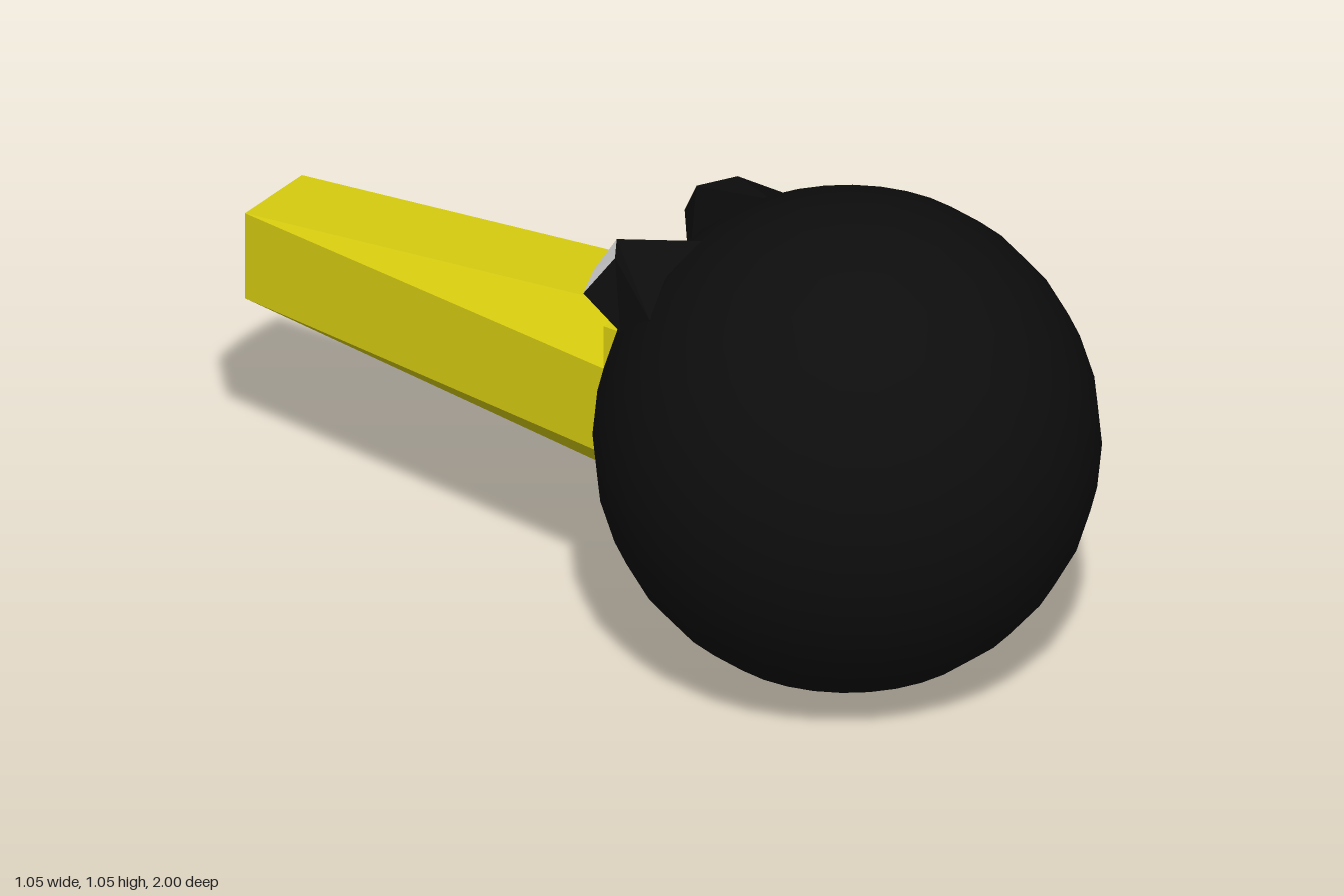
import * as THREE from 'three';

const mat = (name, color) => {
  const m = new THREE.MeshStandardMaterial({ color });
  m.name = name;
  return m;
};

// Flat-faced geometry from convex polygons, corners counterclockwise from outside
function polygons(faces) {
  const pos = [];
  for (const f of faces)
    for (let i = 1; i < f.length - 1; i++) pos.push(...f[0], ...f[i], ...f[i + 1]);
  const g = new THREE.BufferGeometry();
  g.setAttribute('position', new THREE.Float32BufferAttribute(pos, 3));
  g.computeVertexNormals();
  return g;
}

export function createModel() {
  const model = new THREE.Group();
  const black = mat('black', 0x0d0d0d);
  const yellow = mat('yellow', 0xd9ce10);
  const white = mat('white', 0xececec);
  const add = (parent, name, geometry, material) => {
    const mesh = new THREE.Mesh(geometry, material);
    mesh.name = name;
    parent.add(mesh);
    return mesh;
  };
  const cy = 0.53;

  // Round head
  add(model, 'head', new THREE.SphereGeometry(0.525, 32, 16), black).position.set(0, cy, 0.475);

  const beak = new THREE.Group();
  beak.name = 'beak';
  model.add(beak);

  // Square root of the beak, mostly sunk in the head
  add(beak, 'beakRoot', new THREE.BoxGeometry(0.4, 0.4, 0.2), yellow).position.set(0, cy, 0.1);

  // Beak tapering from an octagon to a square: four flats and four corner triangles
  const faces = [];
  const tipZ = -0.985;
  for (let i = 0; i < 4; i++) {
    const turn = (x, y, z) => {
      const c = [1, 0, -1, 0][i], s = [0, 1, 0, -1][i];
      return [c * x - s * y, cy + s * x + c * y, z];
    };
    const a = 0.1, b = 0.2;
    faces.push([turn(-a, b, 0), turn(a, b, 0), turn(a, a, tipZ), turn(-a, a, tipZ)]);
    faces.push([turn(a, b, 0), turn(b, a, 0), turn(a, a, tipZ)]);
  }
  add(beak, 'beakTaper', polygons(faces), yellow);

  // Slightly bulging tip
  const tip = new THREE.PlaneGeometry(0.2, 0.2, 4, 4);
  tip.rotateY(Math.PI);
  const p = tip.attributes.position;
  for (let i = 0; i < p.count; i++) {
    const r2 = (p.getX(i) ** 2 + p.getY(i) ** 2) / 0.02;
    p.setZ(i, -1 + 0.015 * r2);
  }
  tip.translate(0, cy, 0);
  tip.computeVertexNormals();
  add(beak, 'beakTip', tip, yellow);

  // Eyes: white plates on black sockets that rise out of the head
  const rim = [[0.14, 0.905, -0.01], [0.215, 0.91, 0.04], [0.25, 0.825, -0.015], [0.16, 0.825, -0.055]];
  const base = [[0.11, 0.955, 0.2], [0.3, 0.85, 0.19], [0.266, 0.775, 0.09], [0.1, 0.73, 0]];
  for (const [side, s] of [['left', 1], ['right', -1]]) {
    const place = (face) => {
      const f = face.map(([x, y, z]) => [s * x, y, z]);
      return s < 0 ? f.reverse() : f;
    };
    const eye = new THREE.Group();
    eye.name = side + 'Eye';
    model.add(eye);
    const walls = rim.map((r, i) => {
      const j = (i + 1) % 4;
      return place([base[i], base[j], rim[j], r]);
    });
    add(eye, side + 'EyeSocket', polygons(walls), black);
    add(eye, side + 'EyeWhite', polygons([place(rim)]), white);
  }

  return model;
}
